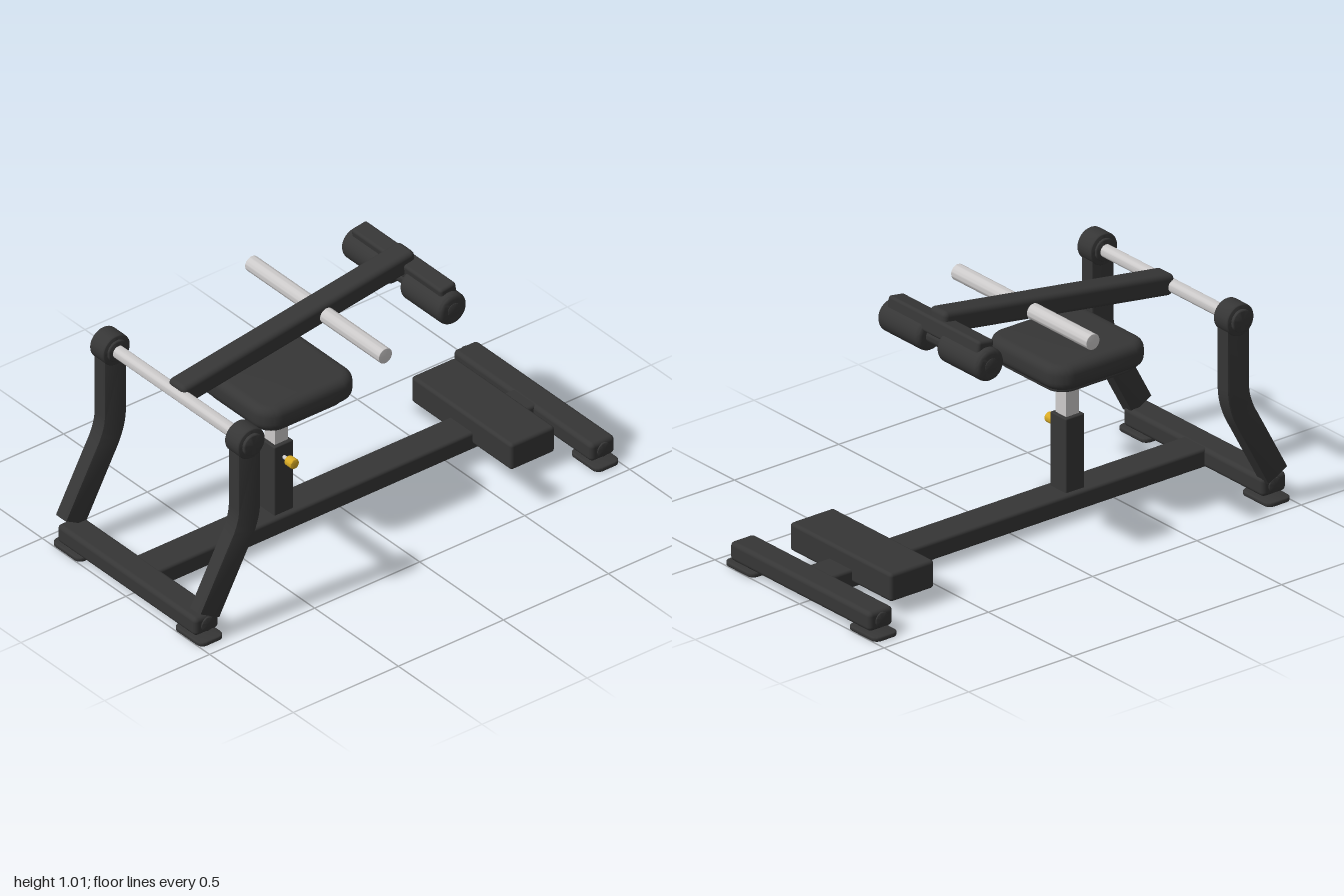
import * as THREE from 'three';
import { toCreasedNormals } from 'three/addons/utils/BufferGeometryUtils.js';
import { RoundedBoxGeometry } from 'three/addons/geometries/RoundedBoxGeometry.js';

export function createModel() {
  const model = new THREE.Group();
  model.name = 'leverExerciseBench';

  const material = (name, color) => {
    const m = new THREE.MeshStandardMaterial({ color });
    m.name = name;
    return m;
  };
  const black = material('blackFrame', 0x363636);
  const silver = material('polishedSteel', 0xcccaca);
  const yellow = material('yellowKnob', 0xd9ab25);

  function add(name, geometry, mat, x = 0, y = 0, z = 0) {
    const mesh = new THREE.Mesh(geometry, mat);
    mesh.name = name;
    mesh.position.set(x, y, z);
    model.add(mesh);
    return mesh;
  }
  const bar = (w, h, d, r = 0.012) => new RoundedBoxGeometry(w, h, d, 3, r);

  // Cylinder along x with softly rounded rims
  function roller(radius, length, round = 0.004, sides = 32) {
    const h = length / 2, pts = [new THREE.Vector2(0, -h)];
    for (const s of [-1, 1]) {
      for (let i = 0; i <= 4; i++) {
        const a = (s < 0 ? i : 4 - i) / 4 * Math.PI / 2;
        pts.push(new THREE.Vector2(radius - round + round * Math.sin(a), s * (h - round + round * Math.cos(a))));
      }
    }
    pts.push(new THREE.Vector2(0, h));
    return toCreasedNormals(new THREE.LatheGeometry(pts, sides).rotateZ(-Math.PI / 2), 0.6);
  }

  // Horizontal slab with rounded outline and bevelled rims, base at y = 0
  function slab(w, d, height, corner, bevel) {
    const x = w / 2 - bevel, y = d / 2 - bevel, r = corner;
    const s = new THREE.Shape();
    s.moveTo(-x + r, -y);
    s.lineTo(x - r, -y);
    s.absarc(x - r, -y + r, r, -Math.PI / 2, 0);
    s.lineTo(x, y - r);
    s.absarc(x - r, y - r, r, 0, Math.PI / 2);
    s.lineTo(-x + r, y);
    s.absarc(-x + r, y - r, r, Math.PI / 2, Math.PI);
    s.lineTo(-x, -y + r);
    s.absarc(-x + r, -y + r, r, Math.PI, Math.PI * 1.5);
    const g = new THREE.ExtrudeGeometry(s, {
      depth: height - 2 * bevel, bevelThickness: bevel, bevelSize: bevel, bevelSegments: 5, curveSegments: 8,
    });
    g.translate(0, 0, bevel).rotateX(-Math.PI / 2);
    return toCreasedNormals(g, 0.7);
  }

  // Floor frame
  add('mainBeam', bar(0.14, 0.076, 1.88), black, 0, 0.069, 0);
  for (const s of [-1, 1]) {
    const end = s > 0 ? 'front' : 'rear';
    add(end + 'Crossbar', bar(0.83, 0.078, 0.115, 0.018), black, 0, 0.069, s * 0.9425);
    for (const side of [-1, 1]) {
      add(end + 'CrossbarCap', roller(0.03, 0.012), black, side * 0.414, 0.069, s * 0.9425);
      add(end + 'FootPad', slab(0.17, 0.115, 0.018, 0.025, 0.004), black, side * 0.365, 0, s * 0.9425);
      add(end + 'FootStem', new THREE.CylinderGeometry(0.018, 0.018, 0.03, 16), black, side * 0.365, 0.025, s * 0.9425);
    }
  }
  add('footRest', bar(0.6, 0.115, 0.21, 0.014), black, 0, 0.1125, -0.7);

  // Seat and its adjustable post
  const seatZ = 0.285;
  add('outerPost', bar(0.094, 0.312, 0.09, 0.005), black, 0, 0.254, seatZ);
  add('innerPost', new THREE.BoxGeometry(0.062, 0.24, 0.062), silver, 0, 0.49, seatZ);
  add('seatPlate', slab(0.39, 0.39, 0.018, 0.07, 0.003), black, 0, 0.605, seatZ);
  add('seatCushion', slab(0.456, 0.452, 0.103, 0.05, 0.036), black, 0, 0.62, seatZ);

  // Adjusting knob
  add('knobShaft', roller(0.008, 0.05, 0.001, 16), silver, 0.065, 0.352, seatZ);
  add('adjustingKnob', roller(0.021, 0.04, 0.005, 20), yellow, 0.093, 0.352, seatZ);

  // Bent uprights: offset a smooth centre line both ways, then extrude across
  const path = new THREE.CurvePath();
  const v = (z, y) => new THREE.Vector2(z, y);
  const bendIn = v(0.803, 0.375), bendOut = v(0.755, 0.53);
  path.add(new THREE.LineCurve(v(0.942, 0.118), bendIn));
  path.add(new THREE.QuadraticBezierCurve(bendIn, v(0.755, 0.455), bendOut));
  path.add(new THREE.LineCurve(bendOut, v(0.755, 0.81)));
  const edges = [[], []];
  for (const curve of path.curves) {
    const n = curve.isLineCurve ? 1 : 10;
    for (let i = 0; i <= n; i++) {
      const p = curve.getPoint(i / n), t = curve.getTangent(i / n);
      if (curve !== path.curves[1] || (i > 0 && i < n)) {
        [-1, 1].forEach((s, k) => edges[k].push(v(p.x + s * 0.046 * t.y, p.y - s * 0.046 * t.x)));
      }
    }
  }
  const uprightShape = new THREE.Shape([...edges[0], ...edges[1].reverse()]);
  const uprightGeometry = toCreasedNormals(new THREE.ExtrudeGeometry(uprightShape, {
    depth: 0.053, bevelThickness: 0.006, bevelSize: 0.006, bevelSegments: 2,
  }).translate(0, 0, -0.0265).rotateY(-Math.PI / 2), 0.6);

  // Uprights and pivot hubs
  for (const s of [-1, 1]) {
    const side = s > 0 ? 'left' : 'right';
    add(side + 'Upright', uprightGeometry, black, s * 0.401, 0, 0);
    add(side + 'PivotHub', roller(0.065, 0.084, 0.008), black, s * 0.403, 0.81, 0.755);
    add(side + 'PivotCap', roller(0.046, 0.106, 0.006), black, s * 0.405, 0.81, 0.755);
  }
  add('pivotRod', roller(0.026, 0.74, 0.001), silver, 0, 0.808, 0.755);

  // Lever arm, sloping up to the rear
  const start = new THREE.Vector3(0, 0.81, 0.76), finish = new THREE.Vector3(0, 0.974, -0.345);
  const arm = add('leverArm', bar(0.098, 0.086, start.distanceTo(finish), 0.02), black);
  arm.position.copy(start).lerp(finish, 0.5);
  arm.rotation.x = Math.atan2(finish.y - start.y, start.z - finish.z);
  add('handleBar', roller(0.032, 0.8, 0.002), silver, 0, 0.902, 0.083);

  // Padded rollers under their bracket
  const bracket = add('rollerBracket', bar(0.54, 0.07, 0.075, 0.012), black, 0, 0.943, -0.325);
  bracket.rotation.x = arm.rotation.x;
  for (const s of [-1, 1]) {
    const side = s > 0 ? 'left' : 'right';
    add(side + 'RollerPad', roller(0.066, 0.25, 0.02), black, s * 0.175, 0.887, -0.323);
    add(side + 'RollerEnd', roller(0.03, 0.012, 0.003), black, s * 0.296, 0.887, -0.323);
  }
  add('rollerAxle', roller(0.03, 0.2, 0.002), black, 0, 0.887, -0.323);

  return model;
}
